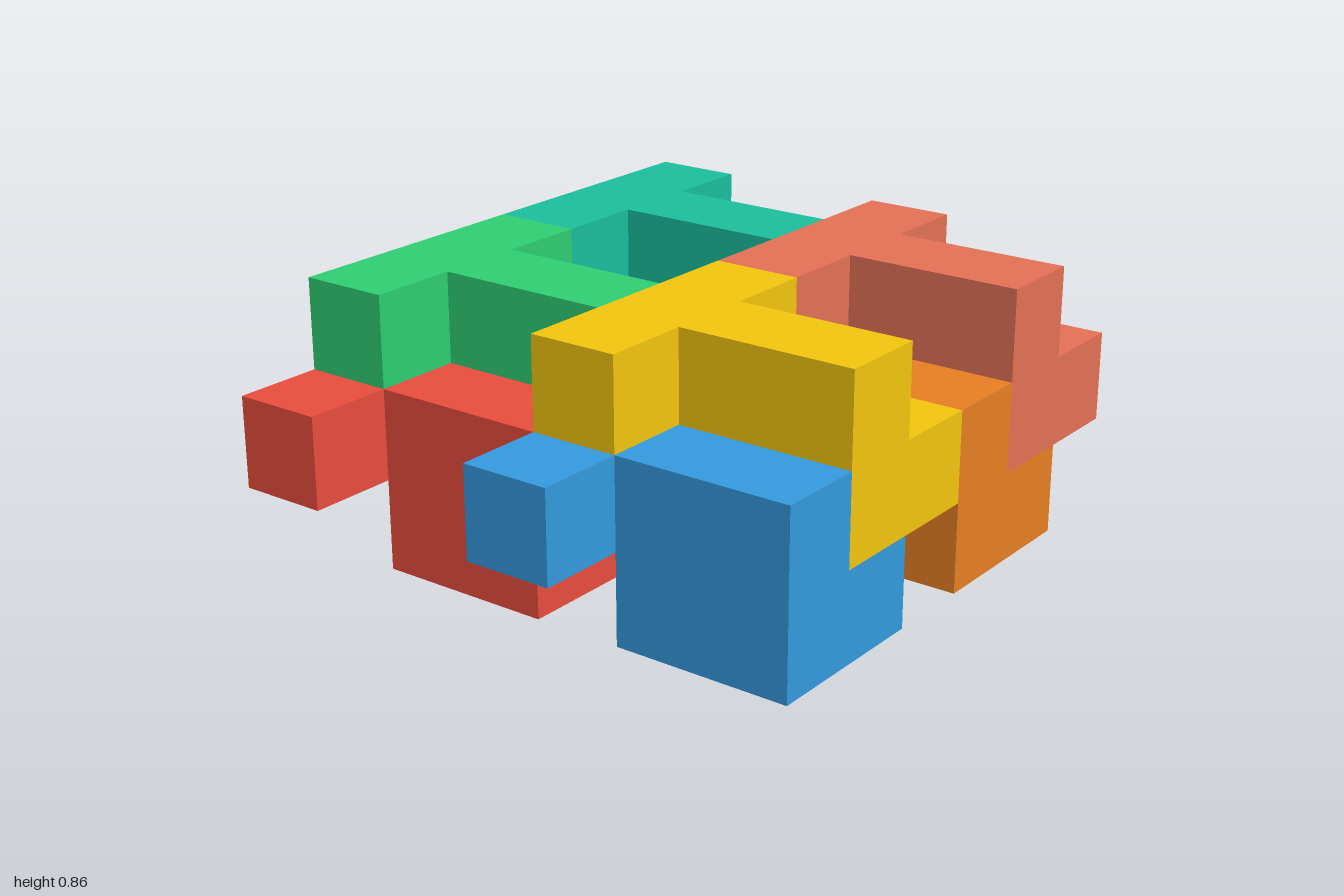
import * as THREE from 'three';

const U = 2 / 7; // edge of one cell

// Every piece is the same: a bar three cells wide with an L-shaped leg in front of its middle.
function makePiece(name, color, i, j, k) {
  const material = new THREE.MeshStandardMaterial({ color, flatShading: true });
  const piece = new THREE.Group();
  piece.name = name;

  const bar = new THREE.Mesh(new THREE.BoxGeometry(3 * U, U, U), material);
  bar.name = 'crossBar';
  bar.position.set(1.5 * U, 1.5 * U, 0.5 * U);

  const profile = new THREE.Shape(
    [[1, 0], [3, 0], [3, 1], [2, 1], [2, 2], [1, 2]].map(([x, y]) => new THREE.Vector2(x * U, y * U))
  );
  const leg = new THREE.Mesh(
    new THREE.ExtrudeGeometry(profile, { depth: 2 * U, bevelEnabled: false }), material
  );
  leg.name = 'steppedLeg';
  leg.position.z = U;

  piece.add(bar, leg);
  piece.position.set(-1 + i * U, j * U, (k - 3) * U);
  return piece;
}

export function createModel() {
  const model = new THREE.Group();
  model.name = 'interlockingBlocks';

  // Two layers of four pieces, repeating every three cells; the upper layer is shifted one cell.
  const layers = [
    ['lower', 0, [['Red', 0xe74c3c], ['Purple', 0x9b59b6], ['Blue', 0x3498db], ['Orange', 0xe67e22]]],
    ['upper', 1, [['Green', 0x2ecc71], ['Teal', 0x1abc9c], ['Yellow', 0xf1c40f], ['Salmon', 0xe17055]]],
  ];
  for (const [layer, shift, pieces] of layers) {
    pieces.forEach(([label, color], n) => {
      const i = shift + 3 * (n % 2);
      const k = 3 * Math.floor(n / 2);
      model.add(makePiece(`${layer}${label}Piece`, color, i, shift, k));
    });
  }
  return model;
}
